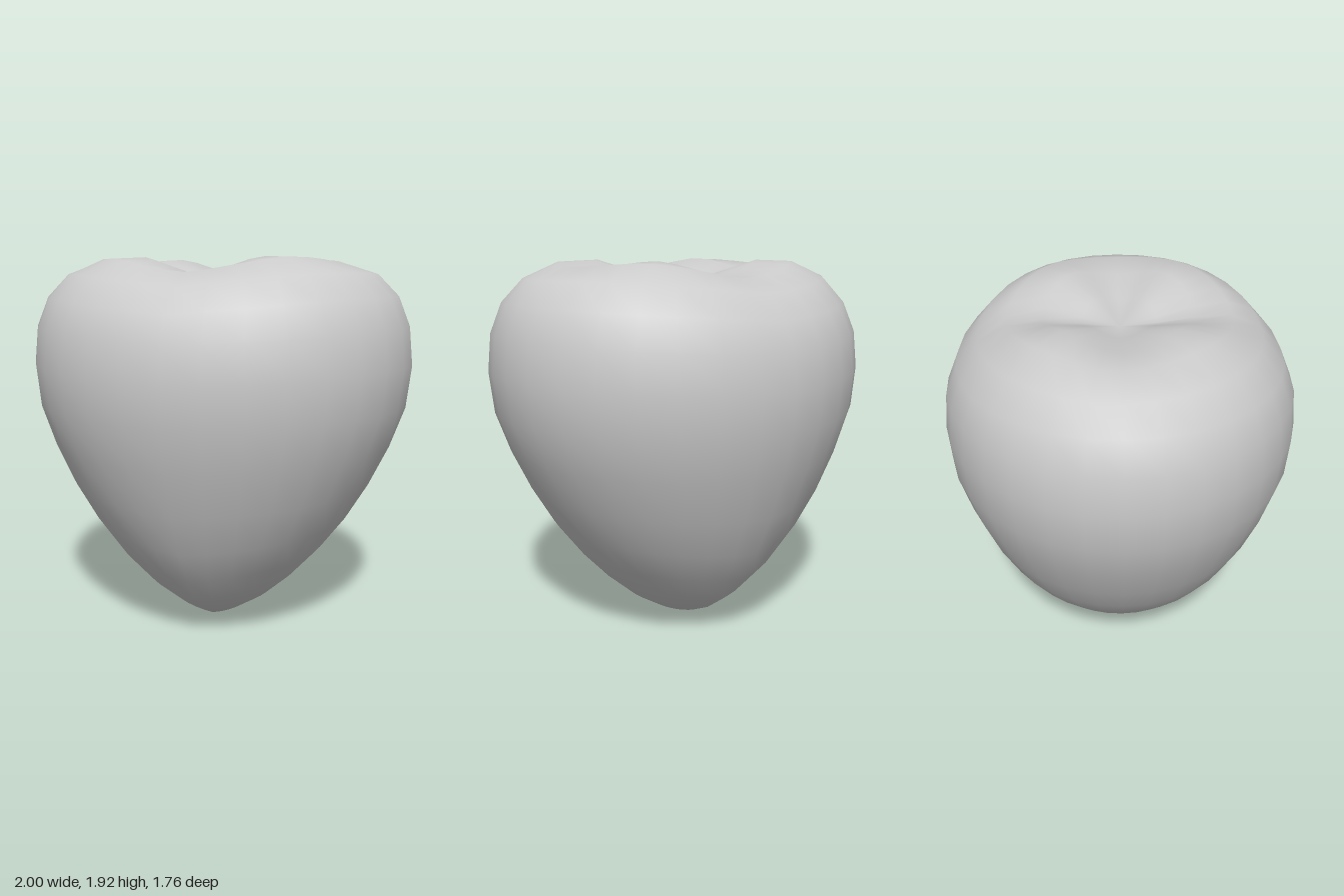
import * as THREE from 'three';
import { mergeVertices } from 'three/addons/utils/BufferGeometryUtils.js';

const RINGS = 16;

// Each ring from the top dimple to the bottom tip:
// [half width, height at the sides, half depth, height at front and back, extra lobe height]
const PROFILE = [
  [0, 1.79, 0, 1.79, 0],
  [0.22, 1.835, 0.185, 1.81, 0.03],
  [0.444, 1.875, 0.37, 1.835, 0.06],
  [0.637, 1.893, 0.545, 1.845, 0.035],
  [0.815, 1.84, 0.69, 1.78, 0.01],
  [0.923, 1.73, 0.80, 1.66, 0],
  [0.982, 1.58, 0.86, 1.52, 0],
  [1, 1.39, 0.88, 1.345, 0],
  [0.975, 1.18, 0.868, 1.15, 0],
  [0.9, 0.975, 0.812, 0.934, 0],
  [0.8, 0.77, 0.736, 0.71, 0],
  [0.685, 0.58, 0.64, 0.5, 0],
  [0.555, 0.41, 0.533, 0.33, 0],
  [0.415, 0.26, 0.406, 0.188, 0],
  [0.278, 0.14, 0.269, 0.086, 0],
  [0.139, 0.052, 0.142, 0.025, 0],
  [0, 0, 0, 0, 0],
];

export function createModel() {
  const group = new THREE.Group();
  group.name = 'heart';

  // A sphere whose rings are reshaped into a plump heart
  const sphere = new THREE.SphereGeometry(1, 2 * RINGS, RINGS);
  const pos = sphere.attributes.position;
  for (let i = 0; i < pos.count; i++) {
    const x = pos.getX(i), y = pos.getY(i), z = pos.getZ(i);
    const ring = Math.round(Math.acos(THREE.MathUtils.clamp(y, -1, 1)) * RINGS / Math.PI);
    const [halfWidth, sideY, halfDepth, frontY, lobe] = PROFILE[ring];
    const r = Math.hypot(x, z) || 1;
    const c = x / r, s = z / r;
    // Heights rise from the front and back crease to the sides, with lobes on the diagonals
    const height = THREE.MathUtils.lerp(frontY, sideY, Math.abs(c)) + lobe * (2 * c * s) ** 2;
    pos.setXYZ(i, halfWidth * c, height, halfDepth * s);
  }

  // Weld the seam so that the shading is smooth all round
  sphere.deleteAttribute('uv');
  sphere.deleteAttribute('normal');
  const geometry = mergeVertices(sphere, 1e-4);
  geometry.computeVertexNormals();

  const body = new THREE.Mesh(geometry, new THREE.MeshStandardMaterial({ color: 0xcccccc }));
  body.name = 'heartBody';
  group.add(body);
  return group;
}
